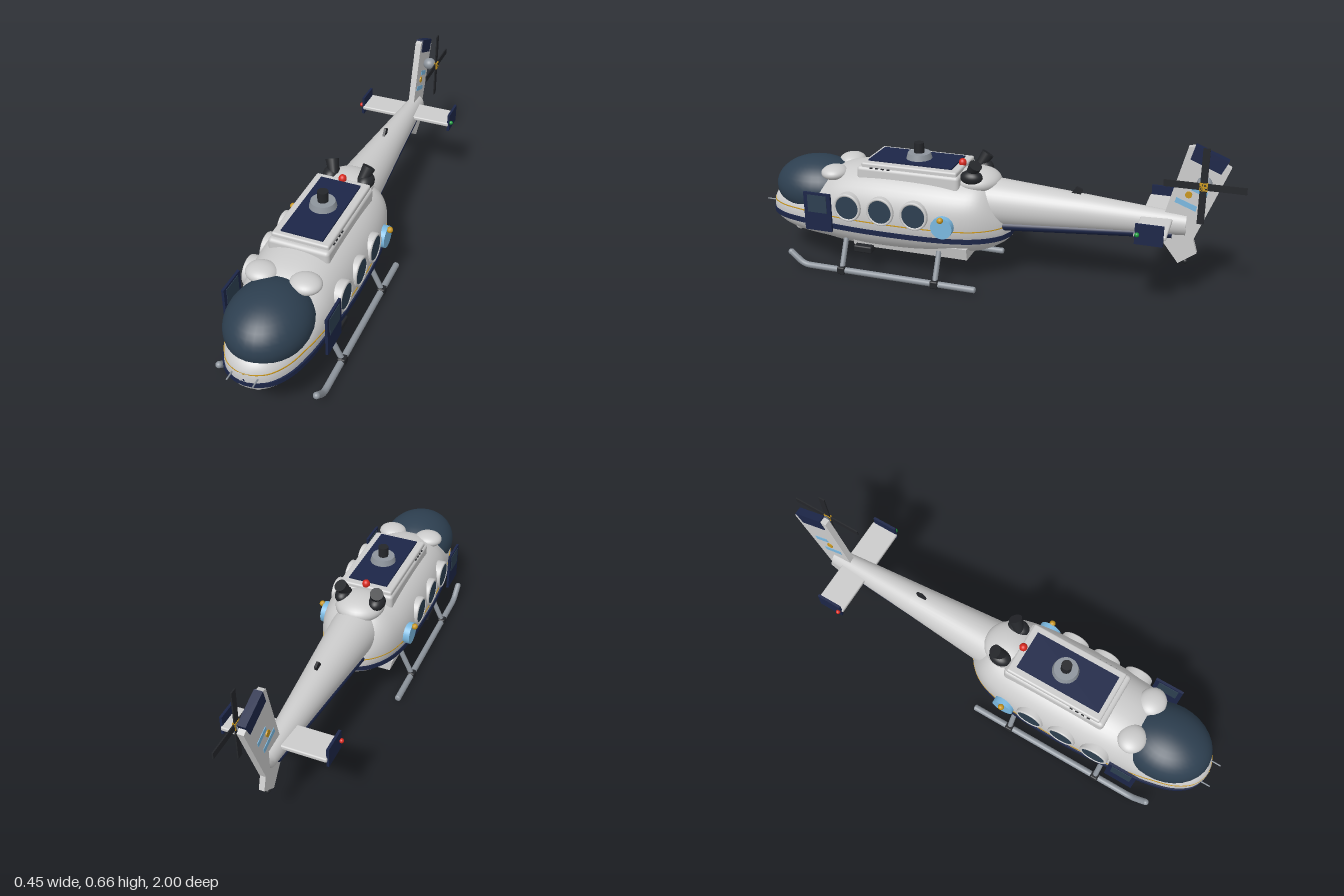
import * as THREE from 'three';
import { RoundedBoxGeometry } from 'three/addons/geometries/RoundedBoxGeometry.js';

const mat = (color) => new THREE.MeshStandardMaterial({ color, side: THREE.DoubleSide });
const GREY = mat(0xcccccc), NAVY = mat(0x1c2648), GLASS = mat(0x2d3f50), DARK = mat(0x24262a),
  STEEL = mat(0x8d949c), GOLD = mat(0xc8961e), SKY = mat(0x7ab8e0), RED = mat(0xd8281e), GREEN = mat(0x1a9a3c);

// Fuselage stations: z, half width, bottom, top
const STATIONS = [
  [-0.1, 0.02, 0.195, 0.235], [-0.07, 0.085, 0.165, 0.32], [0, 0.145, 0.13, 0.42], [0.1, 0.175, 0.108, 0.44],
  [0.25, 0.189, 0.092, 0.45], [0.45, 0.19, 0.085, 0.45], [0.6, 0.18, 0.09, 0.435], [0.68, 0.168, 0.1, 0.4],
  [0.78, 0.152, 0.112, 0.335], [0.87, 0.128, 0.128, 0.318], [0.935, 0.088, 0.152, 0.295], [0.965, 0.04, 0.185, 0.262],
  [0.972, 0.003, 0.218, 0.228]];

// Smoothly resample the stations
function resample(stations, count) {
  const size = new THREE.CatmullRomCurve3(stations.map((s) => new THREE.Vector3(s[1], s[2], s[3])), false, 'catmullrom');
  const pos = new THREE.CatmullRomCurve3(stations.map((s) => new THREE.Vector3(s[0], 0, 0)), false, 'catmullrom');
  return Array.from({ length: count + 1 }, (_, i) => {
    const v = size.getPoint(i / count);
    return [pos.getPoint(i / count).x, v.x, v.y, v.z];
  });
}

// Skin closed superellipse sections, ordered by rising z
function loft(rows, power = 2, sides = 40) {
  const p = [], idx = [];
  const bend = (v) => Math.sign(v) * Math.abs(v) ** (2 / power);
  for (const [z, w, lo, hi] of rows)
    for (let j = 0; j < sides; j++) {
      const a = (j / sides) * Math.PI * 2;
      p.push(w * bend(Math.cos(a)), (lo + hi) / 2 + ((hi - lo) / 2) * bend(Math.sin(a)), z);
    }
  for (let i = 0; i < rows.length - 1; i++)
    for (let j = 0; j < sides; j++) {
      const a = i * sides + j, b = i * sides + ((j + 1) % sides);
      idx.push(a, b, a + sides, b, b + sides, a + sides);
    }
  const g = new THREE.BufferGeometry();
  g.setAttribute('position', new THREE.Float32BufferAttribute(p, 3));
  g.setIndex(idx);
  g.computeVertexNormals();
  return g;
}

// Flat plate drawn in the side plane as [z, y] corners
function plate(points, thick) {
  const shape = new THREE.Shape(points.map(([z, y]) => new THREE.Vector2(z, y)));
  return new THREE.ExtrudeGeometry(shape, { depth: thick, bevelEnabled: false }).translate(0, 0, -thick / 2).rotateY(-Math.PI / 2);
}

// Rod between two points
function rod(a, b, r, r2 = r, sides = 16) {
  const from = new THREE.Vector3(...a), to = new THREE.Vector3(...b), d = to.clone().sub(from);
  const g = new THREE.CylinderGeometry(r2, r, d.length(), sides);
  g.applyQuaternion(new THREE.Quaternion().setFromUnitVectors(new THREE.Vector3(0, 1, 0), d.normalize()));
  const m = from.add(to).multiplyScalar(0.5);
  return g.translate(m.x, m.y, m.z);
}

const box = (w, h, d, x, y, z) => new THREE.BoxGeometry(w, h, d).translate(x, y, z);
const ball = (rx, ry, rz, x, y, z) => new THREE.SphereGeometry(1, 32, 20).scale(rx, ry, rz).translate(x, y, z);
const disc = (r, t, x, y, z) => new THREE.CylinderGeometry(r, r, t, 32).rotateZ(Math.PI / 2).translate(x, y, z);

export function createModel() {
  const model = new THREE.Group();
  const add = (name, geometry, material = GREY) => {
    const m = new THREE.Mesh(geometry, material);
    m.name = name;
    model.add(m);
    return m;
  };

  // Fuselage, canopy and painted bands
  const rows = resample(STATIONS, 60);
  add('fuselage', loft(rows, 2.25, 48));
  add('canopy', ball(0.155, 0.125, 0.187, 0, 0.316, 0.765), GLASS);
  const band = (name, y, h, out, material) => {
    const edge = rows.map(([z, w, lo, hi]) => {
      const t = Math.min(1, Math.abs((2 * y - lo - hi) / (hi - lo)));
      return [w * (1 - t ** 2.25) ** (1 / 2.25) + out, z];
    });
    const outline = [...edge, ...edge.map(([x, z]) => [-x, z]).reverse()];
    const shape = new THREE.Shape(outline.map(([x, z]) => new THREE.Vector2(x, z)));
    add(name, new THREE.ExtrudeGeometry(shape, { depth: h, bevelEnabled: false }).rotateX(Math.PI / 2).translate(0, y + h / 2, 0), material);
  };
  band('navyStripe', 0.206, 0.02, 0.008, NAVY);
  band('goldLine', 0.25, 0.004, 0.002, GOLD);

  // Belly fairing
  const belly = new THREE.BoxGeometry(0.29, 0.05, 0.5).translate(0, 0.14, 0.3);
  const bp = belly.attributes.position;
  for (let i = 0; i < bp.count; i++) if (bp.getY(i) < 0.14) bp.setX(i, bp.getX(i) * 0.93);
  belly.computeVertexNormals();
  add('bellyFairing', belly);

  // Roof housing, rotor mast and beacon
  add('roofCowl', new RoundedBoxGeometry(0.24, 0.07, 0.44, 3, 0.015).translate(0, 0.425, 0.31));
  add('roofHousing', new RoundedBoxGeometry(0.225, 0.06, 0.41, 3, 0.008).translate(0, 0.446, 0.305));
  add('roofPanel', box(0.165, 0.008, 0.36, 0, 0.478, 0.31), NAVY);
  add('mastBase', rod([0, 0.478, 0.3], [0, 0.506, 0.3], 0.054, 0.047, 32), STEEL);
  add('mast', rod([0, 0.5, 0.3], [0, 0.548, 0.3], 0.021, 0.021, 24), DARK);
  add('beacon', ball(0.016, 0.018, 0.016, 0, 0.482, 0.112), RED);
  add('rearCowl', ball(0.1, 0.05, 0.1, 0, 0.42, 0.05));

  // Tail boom and its underside band
  add('tailBoom', loft([[-0.79, 0.002, 0.33, 0.335], [-0.79, 0.036, 0.29, 0.375], [-0.4, 0.066, 0.262, 0.405],
    [-0.04, 0.096, 0.235, 0.43], [0.05, 0.1, 0.23, 0.435]]));
  add('boomUnderside', loft([[-0.74, 0.002, 0.285, 0.29], [-0.74, 0.032, 0.272, 0.315], [-0.08, 0.072, 0.221, 0.285],
    [0, 0.075, 0.216, 0.28]]), NAVY);
  add('boomAntenna', plate([[-0.335, 0.4], [-0.375, 0.4], [-0.385, 0.425], [-0.36, 0.435]], 0.01), DARK);

  // Tail fin, ventral fin and bumper
  add('tailFin', plate([[-0.69, 0.31], [-0.775, 0.645], [-0.795, 0.65], [-0.935, 0.578], [-0.82, 0.275]], 0.026));
  add('finCap', plate([[-0.785, 0.6], [-0.8, 0.655], [-0.925, 0.605], [-0.9, 0.553]], 0.032), NAVY);
  add('ventralFin', plate([[-0.73, 0.3], [-0.82, 0.28], [-0.838, 0.222], [-0.77, 0.172], [-0.71, 0.25]], 0.022));
  add('tailBumper', rod([0, 0.2, -0.785], [0, 0.18, -0.795], 0.006), STEEL);
  add('bumperTip', ball(0.01, 0.01, 0.01, 0, 0.18, -0.797), DARK);
  add('finBandUpper', plate([[-0.8, 0.5], [-0.86, 0.475], [-0.855, 0.455], [-0.795, 0.48]], 0.03), SKY);
  add('finBandLower', plate([[-0.745, 0.445], [-0.825, 0.415], [-0.82, 0.395], [-0.74, 0.425]], 0.03), SKY);
  add('finBadge', disc(0.013, 0.036, 0, 0.46, -0.79), GOLD);

  // Tail rotor on the left of the fin
  add('rotorGearbox', ball(0.028, 0.026, 0.028, 0.036, 0.52, -0.845), STEEL);
  add('rotorShaft', disc(0.014, 0.05, 0.05, 0.516, -0.845), DARK);
  add('rotorBladeVertical', box(0.005, 0.295, 0.026, 0.068, 0.518, -0.845), DARK);
  add('rotorBladeHorizontal', box(0.005, 0.026, 0.3, 0.068, 0.518, -0.85), DARK);
  add('rotorHub', box(0.012, 0.03, 0.03, 0.069, 0.518, -0.845), GOLD);

  // Stabilizer
  add('stabilizer', new RoundedBoxGeometry(0.41, 0.018, 0.12, 2, 0.006).translate(0, 0.352, -0.68));

  // Chin sensor
  add('sensorMount', rod([0, 0.14, 0.875], [0, 0.11, 0.875], 0.028, 0.028, 24), DARK);
  add('sensorBall', ball(0.021, 0.021, 0.021, 0, 0.108, 0.878));

  // Parts on both sides
  for (const s of [-1, 1]) {
    const side = s > 0 ? 'left' : 'right';
    const both = (name, geometry, material) => add(side + name, geometry, material);

    // Round windows with raised rims
    for (const z of [0.255, 0.4, 0.545]) {
      both('WindowMount', disc(0.06, 0.035, s * 0.174, 0.303, z));
      both('WindowRim', new THREE.TorusGeometry(0.054, 0.006, 10, 36).rotateY(Math.PI / 2).translate(s * 0.191, 0.303, z));
      both('Window', disc(0.051, 0.012, s * 0.188, 0.303, z), GLASS);
    }

    // Door panel and rear badge
    both('DoorPanel', box(0.01, 0.165, 0.12, s * 0.198, 0.272, 0.674), NAVY);
    both('DoorGlass', box(0.014, 0.075, 0.085, s * 0.198, 0.308, 0.674), GLASS);
    both('DoorHinge', box(0.04, 0.02, 0.03, s * 0.178, 0.25, 0.65), NAVY);
    both('Badge', disc(0.045, 0.03, s * 0.185, 0.27, 0.135), SKY);
    both('BadgeStud', new THREE.IcosahedronGeometry(0.013, 1).translate(s * 0.208, 0.308, 0.135), GOLD);

    // Roof vents, intakes and exhausts
    for (let i = 0; i < 4; i++) both('Vent', box(0.006, 0.026, 0.013, s * 0.1135, 0.446, 0.39 + i * 0.025), DARK);
    both('Intake', ball(0.06, 0.03, 0.055, s * 0.085, 0.41, 0.645));
    both('ExhaustPod', ball(0.034, 0.03, 0.046, s * 0.072, 0.45, 0.05), DARK);
    both('ExhaustPipe', rod([s * 0.06, 0.455, 0.06], [s * 0.078, 0.505, 0.03], 0.02, 0.027), DARK);

    // Stabilizer end plate and light
    both('EndPlate', box(0.01, 0.08, 0.105, s * 0.205, 0.36, -0.678), NAVY);
    both('NavigationLight', ball(0.009, 0.009, 0.009, s * 0.215, 0.36, -0.635), s > 0 ? GREEN : RED);

    // Landing skid with upturned toe
    const path = new THREE.CurvePath();
    const v = (y, z) => new THREE.Vector3(s * 0.193, y, z);
    path.add(new THREE.LineCurve3(v(0.018, 0), v(0.018, 0.73)));
    path.add(new THREE.QuadraticBezierCurve3(v(0.018, 0.73), v(0.018, 0.765), v(0.04, 0.785)));
    path.add(new THREE.LineCurve3(v(0.04, 0.785), v(0.068, 0.818)));
    both('Skid', new THREE.TubeGeometry(path, 60, 0.013, 14), STEEL);
    both('SkidToe', ball(0.013, 0.013, 0.013, s * 0.193, 0.068, 0.818), STEEL);
    both('SkidHeel', ball(0.013, 0.013, 0.006, s * 0.193, 0.018, 0), STEEL);
    for (const z of [0.17, 0.585]) {
      both('Strut', rod([s * 0.193, 0.02, z], [s * 0.135, 0.14, z], 0.011), STEEL);
      both('StrutClamp', new RoundedBoxGeometry(0.033, 0.033, 0.034, 2, 0.006).translate(s * 0.193, 0.018, z), DARK);
    }

    // Underside lamp box and nose probe
    both('LampBox', new RoundedBoxGeometry(0.06, 0.03, 0.08, 2, 0.006).translate(s * 0.135, 0.11, 0.5), DARK);
    both('NoseProbe', rod([s * 0.048, 0.234, 0.93], [s * 0.048, 0.234, 1], 0.003, 0.003, 8), STEEL);
  }
  return model;
}
